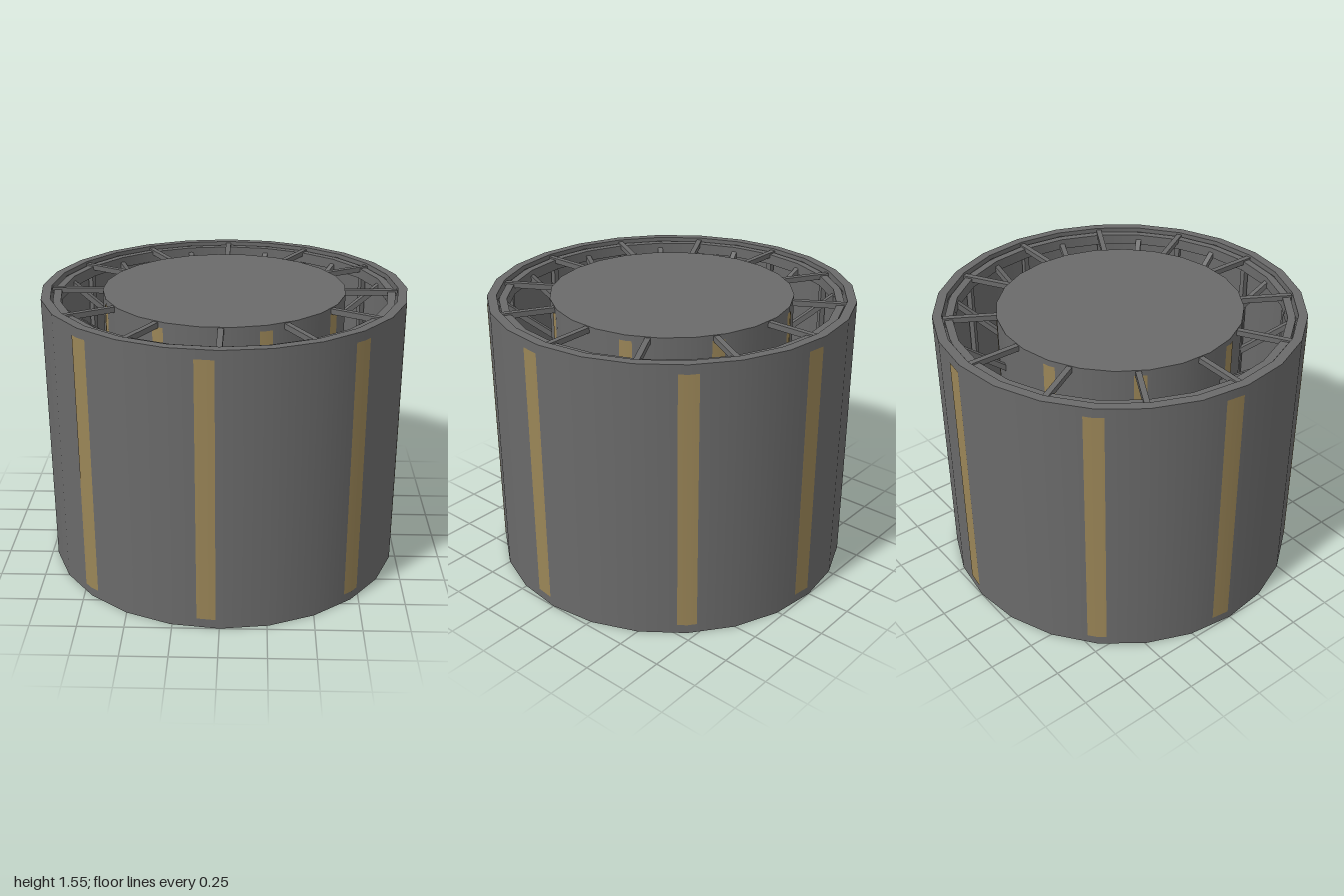
import * as THREE from 'three';

const SIDES = 24;
const STEP = Math.PI * 2 / SIDES;
const RAD = Math.PI / 180;

const grey = new THREE.MeshStandardMaterial({ color: 0x6a6a6a, side: THREE.DoubleSide });
grey.name = 'dark grey';
const gold = new THREE.MeshStandardMaterial({ color: 0x9a8557, side: THREE.DoubleSide });
gold.name = 'dull gold';

function add(parent, name, geometry, material) {
  const mesh = new THREE.Mesh(geometry, material);
  mesh.name = name;
  parent.add(mesh);
  return mesh;
}

// Hollow band with square edges and smooth round walls
function band(parent, name, inner, outer, y0, y1) {
  const group = new THREE.Group();
  group.name = name;
  for (const [r, label] of [[outer, 'OuterWall'], [inner, 'InnerWall']]) {
    const wall = add(group, name + label,
      new THREE.CylinderGeometry(r, r, y1 - y0, SIDES, 1, true), grey);
    wall.position.y = (y0 + y1) / 2;
  }
  for (const [y, turn, label] of [[y1, -1, 'TopEdge'], [y0, 1, 'BottomEdge']]) {
    const edge = add(group, name + label, new THREE.RingGeometry(inner, outer, SIDES), grey);
    edge.rotation.x = turn * Math.PI / 2;
    edge.position.y = y;
  }
  parent.add(group);
}

// Thin stripe that follows the faceted wall between two angles
function stripe(radius, from, to, y0, y1) {
  const pos = [], nor = [], index = [], n = 6;
  for (let i = 0; i <= n; i++) {
    const a = (from + (to - from) * i / n) * RAD;
    const facet = (Math.floor(a / STEP) + 0.5) * STEP;
    const r = radius * Math.cos(STEP / 2) / Math.cos(a - facet) + 0.003;
    for (const y of [y0, y1]) {
      pos.push(Math.sin(a) * r, y, Math.cos(a) * r);
      nor.push(Math.sin(a), 0, Math.cos(a));
    }
    if (i < n) index.push(2 * i, 2 * i + 2, 2 * i + 1, 2 * i + 1, 2 * i + 2, 2 * i + 3);
  }
  const g = new THREE.BufferGeometry();
  g.setAttribute('position', new THREE.Float32BufferAttribute(pos, 3));
  g.setAttribute('normal', new THREE.Float32BufferAttribute(nor, 3));
  g.setIndex(index);
  return g;
}

// Square bar between two points given as radius and height at one angle
function bar(parent, name, angle, r0, y0, r1, y1, size = 0.03) {
  const a = new THREE.Vector3(Math.sin(angle) * r0, y0, Math.cos(angle) * r0);
  const b = new THREE.Vector3(Math.sin(angle) * r1, y1, Math.cos(angle) * r1);
  const mesh = add(parent, name, new THREE.BoxGeometry(size, size, a.distanceTo(b)), grey);
  mesh.position.copy(a).add(b).multiplyScalar(0.5);
  mesh.lookAt(b);
}

// Drum wall with inner frame rings, posts and eight stripes
function drum(name, radius, y0, y1) {
  const group = new THREE.Group();
  group.name = name;
  const s = radius, h = y1 - y0, lip = 0.06 * s;
  band(group, name + 'Shell', 0.95 * s, s, y0, y1);
  band(group, name + 'LowerFrameRing', 0.895 * s, 0.938 * s, y0 + 0.01, y0 + 0.01 + lip);
  band(group, name + 'UpperFrameRing', 0.895 * s, 0.938 * s, y1 - 0.02 - lip, y1 - 0.02);
  for (let i = 0; i < 12; i++) {
    const a = i * Math.PI / 6;
    const post = add(group, name + 'Post',
      new THREE.BoxGeometry(0.03 * s, h - 0.06, 0.03 * s), grey);
    post.position.set(Math.sin(a) * 0.92 * s, (y0 + y1) / 2, Math.cos(a) * 0.92 * s);
    post.rotation.y = a;
  }
  for (let i = 0; i < 4; i++) {
    for (const [from, to] of [[-6.9, -1.1], [42, 48]]) {
      add(group, name + 'Stripe',
        stripe(s, from + i * 90, to + i * 90, y0 + h * 0.034, y1 - h * 0.032), gold);
    }
  }
  return group;
}

export function createModel() {
  const model = new THREE.Group();
  model.name = 'spokedDrum';

  // Open outer drum
  model.add(drum('outerDrum', 1, 0, 1.55));

  // Smaller inner drum, turned and closed on top
  const inner = drum('innerDrum', 0.665, 0.61, 1.545);
  const lid = add(inner, 'innerDrumLid', new THREE.CircleGeometry(0.665, SIDES), grey);
  lid.rotation.x = -Math.PI / 2;
  lid.position.y = 1.547;
  inner.rotation.y = -25 * RAD;
  model.add(inner);

  // Level spokes alternate with sloping braces
  for (let i = 0; i < SIDES; i++) {
    if (i % 2 === 0) bar(model, 'spoke', i * STEP, 0.64, 1.525, 0.945, 1.525);
    else bar(model, 'brace', i * STEP, 0.64, 1.3, 0.945, 1.52);
  }
  return model;
}
